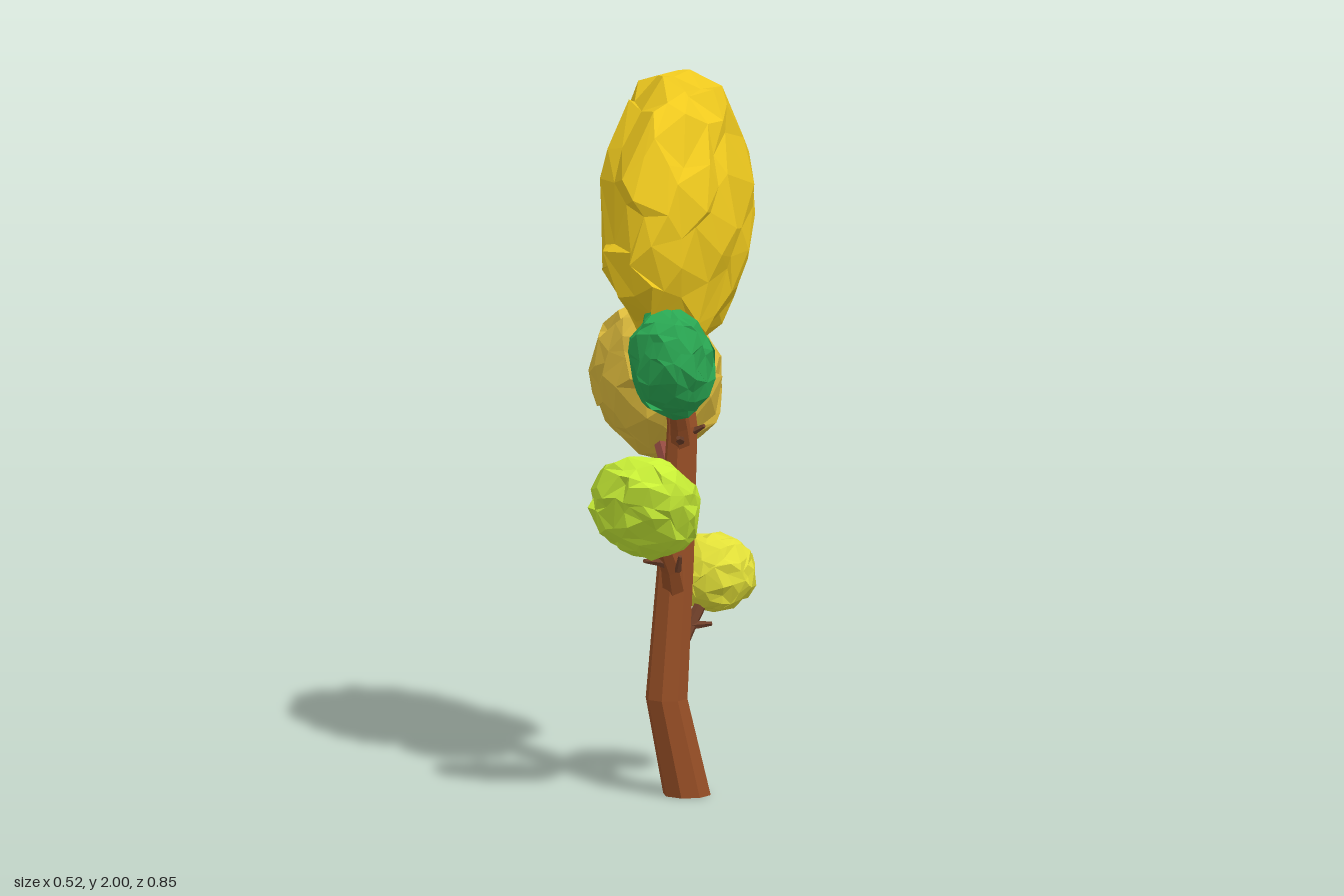
import * as THREE from 'three';
import { mergeVertices } from 'three/addons/utils/BufferGeometryUtils.js';

const V = (p) => new THREE.Vector3(...p);
const UP = new THREE.Vector3(0, 1, 0);

// Small seeded random generator, returns -1..1
function seeded(seed) {
  let s = seed;
  return () => {
    s = (s * 16807) % 2147483647;
    return (s / 2147483647) * 2 - 1;
  };
}

function flat(color) {
  return new THREE.MeshStandardMaterial({ color, flatShading: true });
}

// Tapered limb: a cylinder whose rings follow the points; level keeps rings horizontal
function limb(name, color, points, radii, sides = 6, level = false) {
  const path = points.map(V);
  const last = path.length - 1;
  const geo = new THREE.CylinderGeometry(1, 1, 1, sides, last);
  const turns = path.map((_, i) => {
    const dir = path[Math.min(i + 1, last)].clone().sub(path[Math.max(i - 1, 0)]).normalize();
    return new THREE.Quaternion().setFromUnitVectors(UP, level ? UP : dir);
  });
  const pos = geo.attributes.position;
  const v = new THREE.Vector3();
  for (let k = 0; k < pos.count; k++) {
    v.fromBufferAttribute(pos, k);
    const i = Math.round((v.y + 0.5) * last);
    v.y = 0;
    v.multiplyScalar(radii[i]).applyQuaternion(turns[i]).add(path[i]);
    pos.setXYZ(k, v.x, v.y, v.z);
  }
  geo.computeVertexNormals();
  const mesh = new THREE.Mesh(geo, flat(color));
  mesh.name = name;
  return mesh;
}

// Crumpled leaf clump: a jittered icosphere stretched to an ellipsoid
function clump(name, color, center, radii, rotation, seed) {
  let geo = new THREE.IcosahedronGeometry(1, 3);
  geo.deleteAttribute('normal');
  geo.deleteAttribute('uv');
  geo = mergeVertices(geo, 1e-4);
  const rnd = seeded(seed);
  const pos = geo.attributes.position;
  const v = new THREE.Vector3();
  for (let k = 0; k < pos.count; k++) {
    v.fromBufferAttribute(pos, k);
    v.add(new THREE.Vector3(rnd(), rnd(), rnd()).multiplyScalar(0.15));
    v.setLength(0.985 + rnd() * 0.07);
    pos.setXYZ(k, v.x * radii[0], v.y * radii[1], v.z * radii[2]);
  }
  geo.computeVertexNormals();
  const mesh = new THREE.Mesh(geo, flat(color));
  mesh.name = name;
  mesh.position.set(...center);
  mesh.rotation.set(...rotation);
  return mesh;
}

export function createModel() {
  const tree = new THREE.Group();
  tree.name = 'tree';
  const bark = 0x984f26, darkBark = 0x70402a, redBark = 0x934a40;

  // Trunk with a bend near the base
  tree.add(limb('trunk', bark,
    [[0.078, 0, 0.02], [0.03, 0.27, 0.057], [0.053, 0.65, 0.045], [0.07, 1.02, 0.04], [0.032, 1.32, 0.035], [0.03, 1.5, 0.035]],
    [0.066, 0.058, 0.05, 0.042, 0.036, 0.02], 8, true));

  // Main branches, each ending inside its clump
  tree.add(limb('greenBranch', bark,
    [[0.07, 0.95, 0.04], [0.075, 1.03, 0.09], [0.08, 1.15, 0.18]], [0.032, 0.027, 0.02]));
  tree.add(limb('limeBranch', bark,
    [[0.055, 0.55, 0.05], [0.055, 0.64, 0.11], [0.035, 0.79, 0.23]], [0.036, 0.029, 0.02]));
  tree.add(limb('tanBranch', redBark,
    [[0.055, 0.6, 0.03], [0.045, 0.77, -0.02], [0.01, 0.87, -0.07], [-0.06, 1.0, -0.18]], [0.035, 0.03, 0.025, 0.02]));
  tree.add(limb('yellowBranch', darkBark,
    [[0.05, 0.4, 0.025], [0.08, 0.46, -0.005], [0.13, 0.57, -0.06]], [0.028, 0.019, 0.014]));

  // Small bare twigs
  const twigs = [
    [[0.07, 0.98, 0.07], [0.09, 1.0, 0.14], [0.1, 1.02, 0.22]],
    [[0.07, 1.0, 0.05], [0.11, 1.01, 0.05], [0.135, 1.025, 0.06]],
    [[0.055, 0.64, 0.1], [0.03, 0.665, 0.17], [0.01, 0.68, 0.235]],
    [[0.055, 0.63, 0.1], [0.08, 0.64, 0.13], [0.09, 0.68, 0.15]],
    [[0.02, 0.86, -0.05], [0.0, 0.86, -0.1], [-0.02, 0.855, -0.14]],
    [[0.08, 0.46, 0.0], [0.11, 0.463, -0.01], [0.14, 0.467, -0.01]],
  ];
  twigs.forEach((p, i) => tree.add(limb('twig' + (i + 1), darkBark, p, [0.012, 0.01, 0.006], 5)));

  // Leaf clumps
  tree.add(clump('crown', 0xf0ca1e, [0.052, 1.612, 0.036], [0.2, 0.385, 0.318], [0, -0.08, 0], 77));
  tree.add(clump('tanClump', 0xdcba3c, [-0.062, 1.09, -0.225], [0.157, 0.21, 0.23], [0, Math.PI / 4, 0], 1234));
  tree.add(clump('greenClump', 0x2aa853, [0.082, 1.225, 0.225], [0.118, 0.172, 0.118], [0.5, 0, 0], 4321));
  tree.add(clump('limeClump', 0xc8ee36, [0.026, 0.838, 0.285], [0.155, 0.182, 0.11], [0.72, 0, 0], 991));
  tree.add(clump('yellowClump', 0xe2e038, [0.135, 0.597, -0.078], [0.112, 0.11, 0.11], [0, 0, 0], 555));
  return tree;
}
